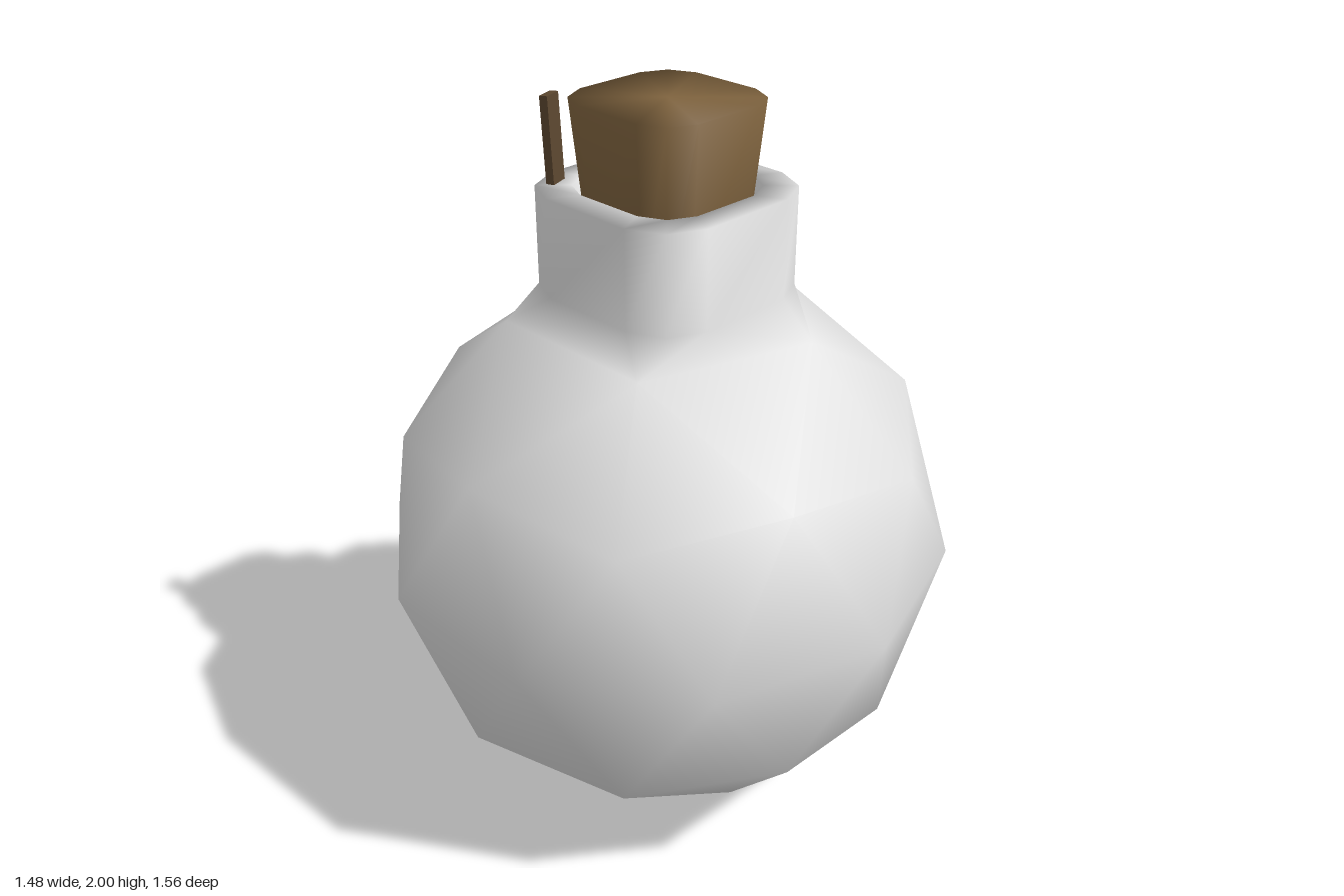
import * as THREE from 'three';
import { mergeVertices } from 'three/addons/utils/BufferGeometryUtils.js';

const R = 0.78; // bulb radius, also the height of its centre

// Indexed geometry with smooth shared normals from a list of triangle corners
function smooth(points) {
  const raw = new THREE.BufferGeometry().setFromPoints(points);
  const g = mergeVertices(raw, 1e-3);
  g.computeVertexNormals();
  return g;
}

// Point on a horizontal circle
const polar = (deg, r, y) => {
  const a = THREE.MathUtils.degToRad(deg);
  return new THREE.Vector3(Math.cos(a) * r, y, Math.sin(a) * r);
};

// Square ring with rounded corners (12 points), in order of rising angle
function squareRing(half, y, cx) {
  const s = half * 0.5, m = half * 0.84;
  const ring = [];
  for (let q = 0; q < 4; q++) {
    for (const [x, z] of [[half, s], [m, m], [s, half]]) {
      const [px, pz] = [[x, z], [-z, x], [-x, -z], [z, -x]][q];
      ring.push(new THREE.Vector3(px + cx, y, pz));
    }
  }
  return ring;
}

// Walls between successive rings
function loft(rings) {
  const tris = [];
  for (let k = 0; k + 1 < rings.length; k++) {
    const a = rings[k], b = rings[k + 1], n = a.length;
    for (let i = 0; i < n; i++) {
      const j = (i + 1) % n;
      tris.push(a[i], b[i], a[j], a[j], b[i], b[j]);
    }
  }
  return tris;
}

// Once-subdivided icosahedron standing on a corner, open at the top
function bulb() {
  const v = [0, 1, 0];
  const h = 1 / Math.sqrt(5), r = 2 * h;
  for (let k = 0; k < 5; k++) v.push(...polar(72 * k, r, h).toArray());
  for (let k = 0; k < 5; k++) v.push(...polar(72 * k + 36, r, -h).toArray());
  v.push(0, -1, 0);
  const f = [];
  for (let k = 0; k < 5; k++) {
    const n = (k + 1) % 5, u = 1 + k, u2 = 1 + n, l = 6 + k, l2 = 6 + n;
    f.push(u, 0, u2, l, u, u2, l, u2, l2, 11, l, l2);
  }
  const pos = new THREE.PolyhedronGeometry(v, f, R, 1).getAttribute('position');
  const tris = [];
  for (let i = 0; i < pos.count; i += 3) {
    const t = [0, 1, 2].map((c) => new THREE.Vector3().fromBufferAttribute(pos, i + c));
    if (t.some((p) => p.y > R * 0.95)) continue;
    t.forEach((p) => tris.push(p.setY(p.y + R)));
  }
  return tris;
}

// Shoulder joining the bulb's five-sided opening to the neck
function shoulder(neck) {
  const opening = [];
  for (let k = 0; k < 5; k++) opening.push(polar(72 * k, R * 0.52573, R * 1.85065));
  const nearest = (j) => {
    const p = neck[j % 12], q = neck[(j + 1) % 12];
    const deg = THREE.MathUtils.radToDeg(Math.atan2(p.z + q.z, p.x + q.x));
    return Math.round(((deg + 360) % 360) / 72) % 5;
  };
  const tris = [];
  for (let j = 0; j < 12; j++) {
    const a = nearest(j), b = nearest(j + 1), next = neck[(j + 1) % 12];
    tris.push(opening[a], neck[j], next);
    if (a !== b) tris.push(opening[a], next, opening[b]);
  }
  return tris;
}

export function createModel() {
  const glass = new THREE.MeshStandardMaterial({ color: 0xe2e2e2 });
  glass.name = 'pale glass';
  const corkBrown = new THREE.MeshStandardMaterial({ color: 0x80643f });
  corkBrown.name = 'cork brown';
  const darkBrown = new THREE.MeshStandardMaterial({ color: 0x5c4730 });
  darkBrown.name = 'dark brown';

  const group = new THREE.Group();
  group.name = 'corkedFlask';
  const add = (name, geometry, material) => {
    const mesh = new THREE.Mesh(geometry, material);
    mesh.name = name;
    group.add(mesh);
    return mesh;
  };

  // Flask: bulb, shoulder, neck wall, rim and inner wall in one skin
  const neckBase = squareRing(0.275, 1.52, 0.005);
  const neck = loft([
    neckBase,
    squareRing(0.275, 1.78, 0.005),
    squareRing(0.2, 1.78, 0.008),
    squareRing(0.195, 1.56, 0.008),
  ]);
  add('flask', smooth([...bulb(), ...shoulder(neckBase), ...neck]), glass);

  // Tapered stopper, closed at both ends
  const centre = (y) => Array(12).fill(new THREE.Vector3(0.008, y, 0));
  const top = squareRing(0.202, 2, 0.008), bottom = squareRing(0.165, 1.58, 0.008);
  const corkTris = loft([centre(1.58), bottom, top, centre(2)]);
  const corkGeometry = smooth(corkTris);
  add('cork', corkGeometry, corkBrown);

  // Thin stick standing between the stopper and the rim
  const stick = add('stick', new THREE.BoxGeometry(0.055, 0.24, 0.022), darkBrown);
  stick.position.set(-0.17, 1.878, -0.222);
  stick.rotation.set(-0.06, 0.35, 0);
  return group;
}
